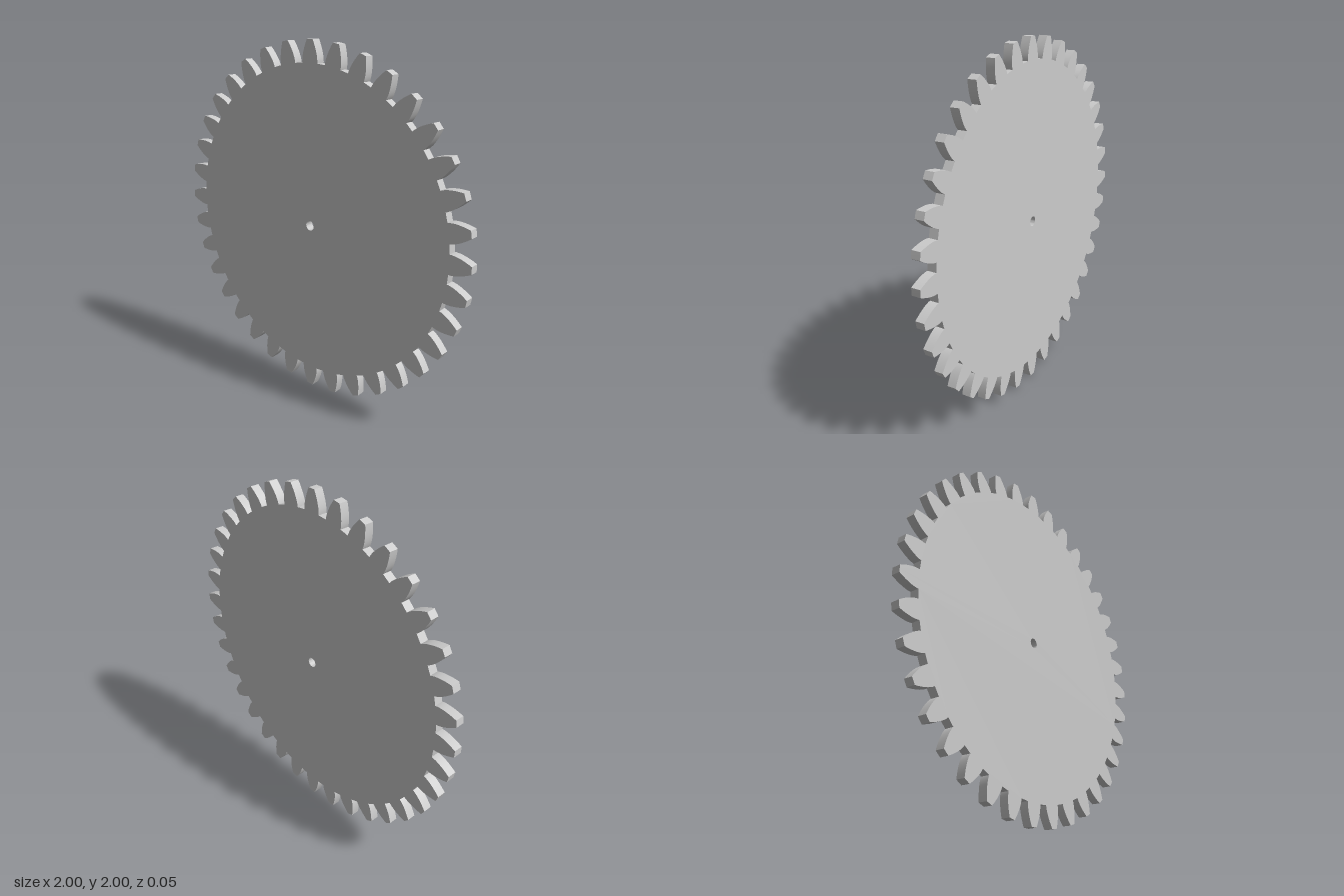
import * as THREE from 'three';
import { toCreasedNormals } from 'three/addons/utils/BufferGeometryUtils.js';

const TEETH = 36;
const TIP = 1;                                  // outer radius
const MODULE = 2 * TIP / (TEETH + 2);
const PITCH = MODULE * TEETH / 2;               // pitch radius
const ROOT = PITCH - 1.25 * MODULE;             // radius at the tooth gaps
const PRESSURE = THREE.MathUtils.degToRad(20);
const BASE = PITCH * Math.cos(PRESSURE);        // involute base circle
const THICKNESS = 0.05;
const BORE = 0.028;
const FLANK_STEPS = 6;

const involute = (a) => Math.tan(a) - a;

// Half the angle a tooth spans at radius r
function halfAngle(r) {
  const a = Math.acos(Math.min(1, BASE / r));
  return Math.PI / (2 * TEETH) + involute(PRESSURE) - involute(a);
}

// One flank from root to tip as [radius, half angle] pairs
function flankProfile() {
  const flank = [[ROOT, halfAngle(BASE)]];
  for (let i = 0; i <= FLANK_STEPS; i++) {
    const r = THREE.MathUtils.lerp(BASE, TIP, i / FLANK_STEPS);
    flank.push([r, halfAngle(r)]);
  }
  return flank;
}

// Toothed outline, counter-clockwise, with the shaft hole
function gearShape() {
  const flank = flankProfile();
  const points = [];
  const add = (r, a) => points.push(new THREE.Vector2(r * Math.cos(a), r * Math.sin(a)));
  for (let t = 0; t < TEETH; t++) {
    const centre = (t / TEETH) * Math.PI * 2;
    flank.forEach(([r, h]) => add(r, centre - h));
    add(TIP, centre);
    [...flank].reverse().forEach(([r, h]) => add(r, centre + h));
  }
  const shape = new THREE.Shape(points);
  shape.holes.push(new THREE.Path().absarc(0, 0, BORE, 0, Math.PI * 2, true));
  return shape;
}

export function createModel() {
  const group = new THREE.Group();
  group.name = 'spurGear';

  // Flat gear plate, standing upright on its lowest tooth
  const plate = new THREE.ExtrudeGeometry(gearShape(), {
    depth: THICKNESS, bevelEnabled: false, curveSegments: 16,
  });
  plate.translate(0, TIP, -THICKNESS / 2);

  const gear = new THREE.Mesh(
    toCreasedNormals(plate, Math.PI / 6),
    new THREE.MeshStandardMaterial({ color: 0xcccccc }),
  );
  gear.name = 'gearPlate';
  group.add(gear);
  return group;
}
